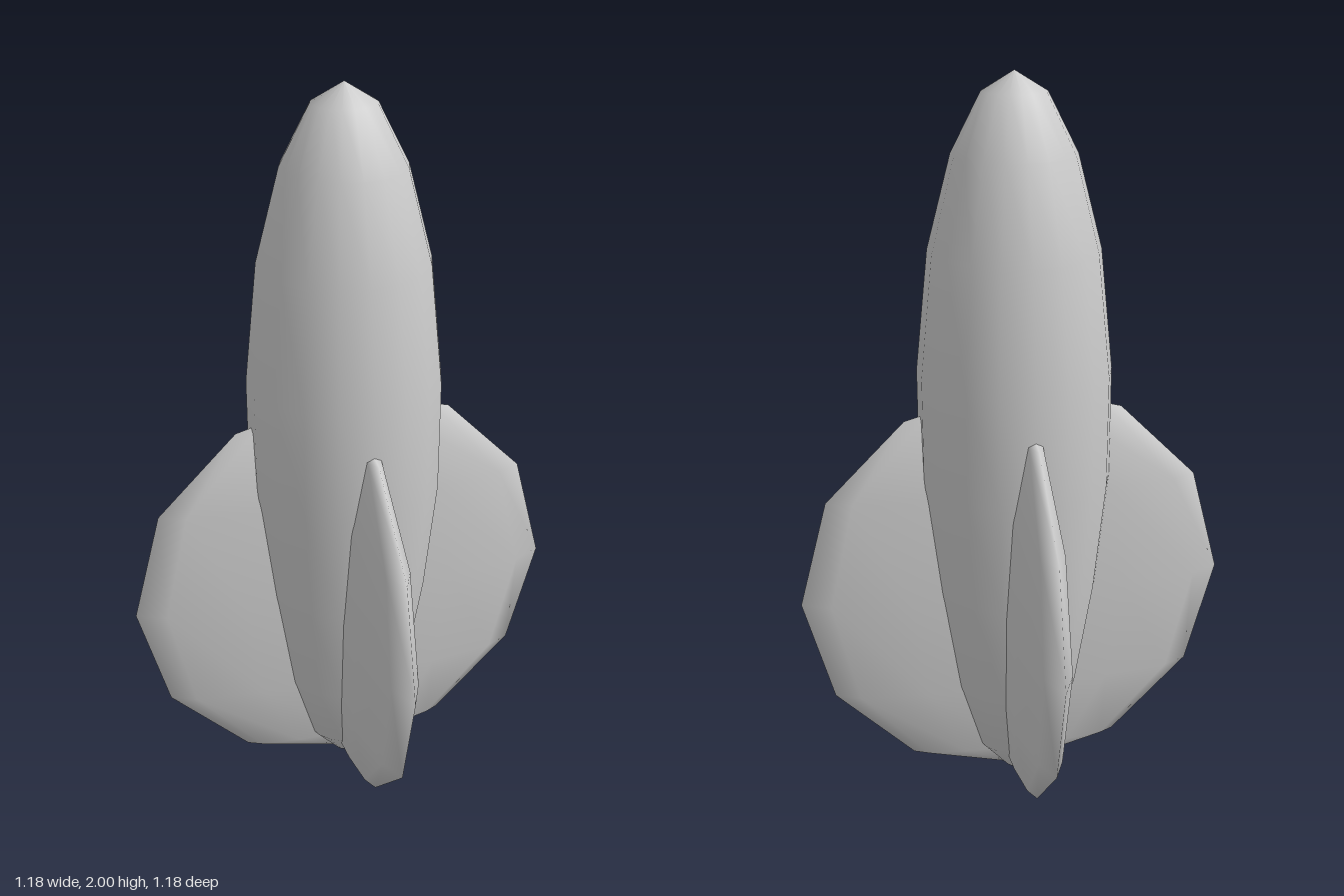
import * as THREE from 'three';

const material = new THREE.MeshStandardMaterial({ color: 0xcccccc });

function addPart(parent, name, geometry) {
  const mesh = new THREE.Mesh(geometry, material);
  mesh.name = name;
  parent.add(mesh);
  return mesh;
}

export function createModel() {
  const model = new THREE.Group();
  model.name = 'rocket';

  // Hull: smooth 18-sided bullet, running from the tail tip up to the nose
  const profile = [
    [0, 0], [0.025, 0.02], [0.11, 0.12], [0.178, 0.33], [0.226, 0.63],
    [0.257, 0.94], [0.257, 1.24], [0.223, 1.56], [0.16, 1.8], [0.083, 1.95], [0, 2],
  ].map(([r, y]) => new THREE.Vector2(r, y));
  addPart(model, 'hull', new THREE.LatheGeometry(profile, 18));

  // Fins: two crossed, flattened 12-sided discs, each making an opposite pair
  const fins = new THREE.Group();
  fins.name = 'fins';
  model.add(fins);
  ['sideFins', 'frontBackFins'].forEach((name, i) => {
    const geometry = new THREE.SphereGeometry(1, 12, 6).scale(0.592, 0.588, 0.074);
    const pair = addPart(fins, name, geometry);
    pair.position.y = 0.605;
    pair.rotation.y = i * Math.PI / 2;
  });

  return model;
}
